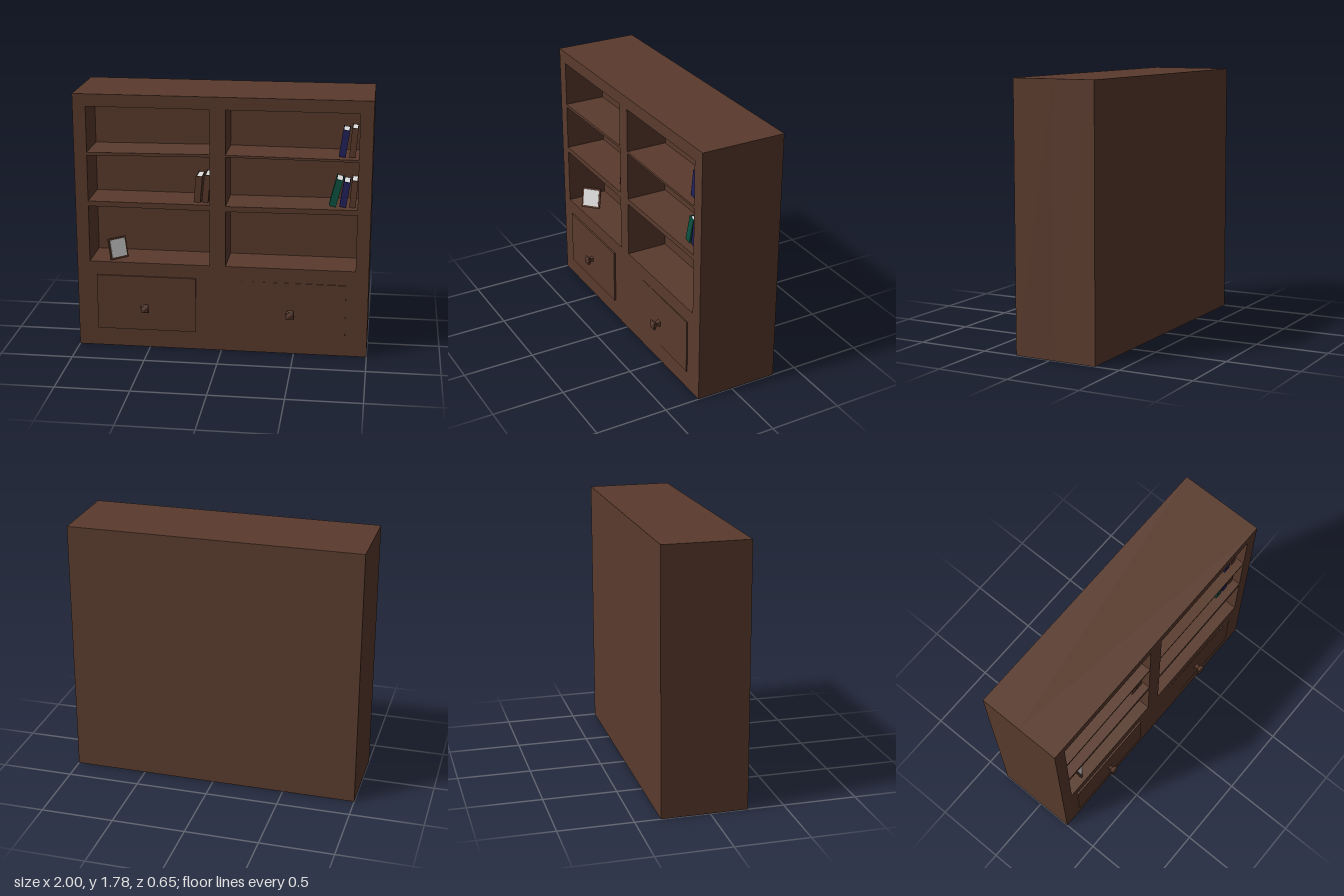
import * as THREE from 'three';

const material = (name, color) => {
  const m = new THREE.MeshStandardMaterial({ color });
  m.name = name;
  return m;
};

export function createModel() {
  const wood = material('brown wood', 0x5a3b2d);
  const blue = material('blue cover', 0x21215e);
  const green = material('green cover', 0x0c5341);
  const white = material('white paper', 0xe6e6e6);
  const root = new THREE.Group();
  root.name = 'bookcase';

  const add = (parent, name, geometry, mat, x = 0, y = 0, z = 0) => {
    const mesh = new THREE.Mesh(geometry, mat);
    mesh.name = name;
    mesh.position.set(x, y, z);
    parent.add(mesh);
    return mesh;
  };
  const box = (w, h, d) => new THREE.BoxGeometry(w, h, d);

  const FRONT = 0.255, INNER = -0.035, BACK = -0.327, HEIGHT = 1.785;

  // Front carcass: six openings, with slightly sagging shelf edges
  const face = new THREE.Shape([
    new THREE.Vector2(-1, 0), new THREE.Vector2(1, 0),
    new THREE.Vector2(1, HEIGHT), new THREE.Vector2(-1, HEIGHT),
  ]);
  // left x, right x, bottom y at left and right, top y at left and right
  const openings = [
    [-0.912, -0.08, 1.386, 1.395, 1.70, 1.70],
    [-0.912, -0.08, 1.045, 1.045, 1.365, 1.377],
    [-0.912, -0.08, 0.615, 0.615, 1.01, 1.004],
    [0.028, 0.91, 1.395, 1.388, 1.70, 1.70],
    [0.028, 0.91, 1.04, 1.045, 1.38, 1.372],
    [0.028, 0.91, 0.615, 0.615, 1.003, 1.01],
  ];
  for (const [l, r, bl, br, tl, tr] of openings) {
    face.holes.push(new THREE.Path([
      new THREE.Vector2(l, bl), new THREE.Vector2(l, tl),
      new THREE.Vector2(r, tr), new THREE.Vector2(r, br),
    ]));
  }
  const carcass = new THREE.ExtrudeGeometry(face, { depth: FRONT - INNER, bevelEnabled: false });
  add(root, 'carcass', carcass, wood, 0, 0, INNER);
  add(root, 'back', box(2, HEIGHT, INNER - BACK), wood, 0, HEIGHT / 2, (INNER + BACK) / 2);

  // Drawer fronts, the right one hanging slightly askew
  add(root, 'leftDrawer', box(0.688, 0.39, 0.04), wood, -0.52, 0.325, 0.247);
  const askew = add(root, 'rightDrawer', box(0.735, 0.383, 0.04), wood, 0.482, 0.322, 0.239);
  askew.rotation.y = -0.011;

  // Faceted knobs: a box pinched at the neck with a domed front
  const knob = box(1, 1, 1).copy(new THREE.BoxGeometry(1, 1, 1, 2, 2, 4));
  const rings = [[0.25, 0.021], [0.284, 0.011], [0.3, 0.024], [0.31, 0.028], [0.317, 0.022]];
  const p = knob.attributes.position;
  for (let i = 0; i < p.count; i++) {
    const x = p.getX(i), y = p.getY(i);
    const [z, r] = rings[Math.round((p.getZ(i) + 0.5) * 4)];
    const tip = z === 0.317 && x === 0 && y === 0 ? 0.006 : 0;
    p.setXYZ(i, x * 2 * r, y * 2 * r, z + tip);
  }
  const facetedKnob = knob.toNonIndexed();
  facetedKnob.computeVertexNormals();
  for (const x of [-0.525, 0.475]) add(root, 'knob', facetedKnob, wood, x, 0.3, 0);

  // Leaning books, each pivoting on its lower right edge
  const addBook = (x, y, lean, w, h, mat) => {
    const book = new THREE.Group();
    book.name = 'book';
    book.position.set(x, y, 0.2);
    book.rotation.z = -lean;
    const depth = 0.15, t = 0.006;
    add(book, 'spine', box(w, h, t), mat, -w / 2, h / 2, -t / 2);
    for (const cx of [-t / 2, -w + t / 2]) {
      add(book, 'cover', box(t, h, depth - t), mat, cx, h / 2, -(depth + t) / 2);
    }
    add(book, 'pages', box(w - 2 * t, h - 0.008, depth - 0.012), white, -w / 2, h / 2, -depth / 2);
    root.add(book);
  };
  addBook(0.82, 1.39, 0.14, 0.046, 0.183, blue);
  addBook(0.885, 1.39, 0.08, 0.042, 0.198, wood);
  addBook(0.763, 1.045, 0.25, 0.048, 0.19, green);
  addBook(0.832, 1.045, 0.15, 0.046, 0.175, blue);
  addBook(0.895, 1.045, 0.07, 0.042, 0.187, wood);
  addBook(-0.15, 1.045, 0.08, 0.045, 0.182, wood);
  addBook(-0.098, 1.045, 0.1, 0.043, 0.192, wood);

  // Picture frame turned to the left and leaning back
  const frame = new THREE.Group();
  frame.name = 'pictureFrame';
  const across = new THREE.Vector3(0.1, 0, -0.095).normalize();
  const up = new THREE.Vector3(-0.028, 0.145, -0.024).normalize();
  const out = new THREE.Vector3().crossVectors(across, up).normalize();
  up.crossVectors(out, across);
  frame.quaternion.setFromRotationMatrix(new THREE.Matrix4().makeBasis(across, up, out));
  frame.position.set(-0.729, 0.689, 0.167);
  add(frame, 'frameBoard', box(0.14, 0.149, 0.012), wood, 0, 0, -0.006);
  add(frame, 'picture', box(0.116, 0.122, 0.004), white, 0, 0, 0.001);
  root.add(frame);

  return root;
}
